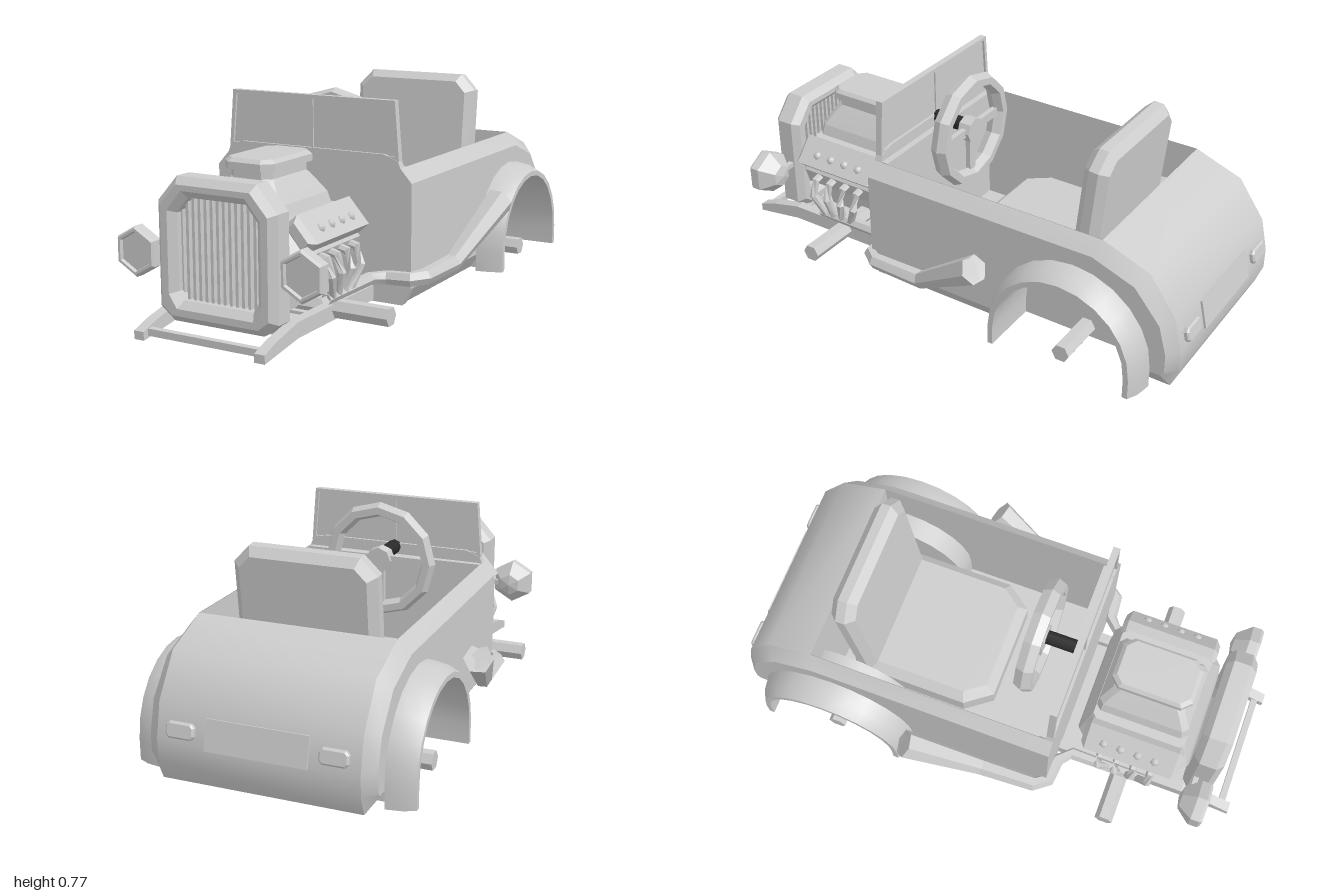
import * as THREE from 'three';
import { toCreasedNormals } from 'three/addons/utils/BufferGeometryUtils.js';

export function createModel() {
  const model = new THREE.Group();
  const paint = new THREE.MeshStandardMaterial({ color: 0xcccccc, side: THREE.DoubleSide });
  paint.name = 'grey paint';
  const black = new THREE.MeshStandardMaterial({ color: 0x2a2a2a });
  black.name = 'black';

  const mesh = (name, geo, mat = paint) => {
    const m = new THREE.Mesh(geo, mat);
    m.name = name;
    return m;
  };
  const add = (name, geo, mat) => { const m = mesh(name, geo, mat); model.add(m); return m; };
  // a part on one side plus its mirror image
  const pair = (name, geo) => {
    add(name + 'Right', geo);
    add(name + 'Left', geo).scale.x = -1;
  };
  const box = (w, h, d, x, y, z) => new THREE.BoxGeometry(w, h, d).translate(x, y, z);
  const sym = (pts) => [...pts, ...pts.slice().reverse().map(([x, y]) => [-x, y])];
  const shapeOf = (pts, hole) => {
    const s = new THREE.Shape(pts.map((p) => new THREE.Vector2(...p)));
    if (hole) s.holes.push(new THREE.Path(hole.map((p) => new THREE.Vector2(...p))));
    return s;
  };
  // plate with optional bevelled edges, spanning z0 to z0 + depth
  const plate = (pts, z0, depth, bevel = 0, hole) => new THREE.ExtrudeGeometry(shapeOf(pts, hole), {
    depth: depth - 2 * bevel, bevelEnabled: bevel > 0, bevelSize: bevel, bevelThickness: bevel,
    bevelOffset: -bevel, bevelSegments: 1,
  }).translate(0, 0, z0 + bevel);
  // flat panel drawn in (z, y), standing at a given x
  const sidePanel = (pts, x) => new THREE.ShapeGeometry(shapeOf(pts)).rotateY(-Math.PI / 2).translate(x, 0, 0);
  // surface through rows of points
  const skin = (rows, crease = 0.6) => {
    const n = rows[0].length, index = [];
    for (let r = 0; r < rows.length - 1; r++) for (let c = 0; c < n - 1; c++) {
      const a = r * n + c, b = a + n;
      index.push(a, b, b + 1, a, b + 1, a + 1);
    }
    const g = new THREE.BufferGeometry();
    g.setAttribute('position', new THREE.Float32BufferAttribute(rows.flat(2), 3));
    g.setIndex(index);
    return toCreasedNormals(g, crease);
  };
  // stacked rectangles with cut corners: [y, halfWidth, halfDepth, cut]
  const stack = (rings, z) => skin(rings.map(([y, w, d, c]) => {
    const p = [[w, d - c], [w - c, d], [c - w, d], [-w, d - c], [-w, c - d], [c - w, -d], [w - c, -d], [w, c - d]];
    return [...p, p[0]].map(([px, pz]) => [px, y, z + pz]).reverse();
  }), 0.1);
  // six-sided pipe of changing radius: [x, y, z, radius]
  const pipe = (path) => {
    const pts = path.map(([x, y, z]) => new THREE.Vector3(x, y, z));
    return skin(pts.map((p, i) => {
      const t = pts[Math.min(i + 1, pts.length - 1)].clone().sub(pts[Math.max(i - 1, 0)]).normalize();
      const side = new THREE.Vector3(0, 1, 0).cross(t).normalize();
      const up = t.clone().cross(side);
      return Array.from({ length: 7 }, (_, k) => {
        const a = -k * Math.PI / 3, r = path[i][3];
        return p.clone().addScaledVector(side, r * Math.cos(a)).addScaledVector(up, r * Math.sin(a)).toArray();
      });
    }), 0.3);
  };

  // Body shell: full profile and the inset profile of the sides, both in (z, y)
  const outer = [[0.29, 0.52], [-0.67, 0.52], [-0.855, 0.45], [-0.957, 0.305], [-0.985, 0.18],
    [-0.985, 0.1], [-0.957, 0.025], [-0.847, 0.025]];
  const inset = [[0.29, 0.47], [-0.655, 0.47], [-0.82, 0.41], [-0.92, 0.29], [-0.95, 0.18],
    [-0.95, 0.11], [-0.935, 0.09], [-0.847, 0.09]];
  const arcZ = -0.585, arcY = 0.1, wellR = 0.262;
  const arc = Array.from({ length: 13 }, (_, i) => Math.PI * i / 12);
  const arch = (r) => [[arcZ + r, 0.025], ...arc.map((a) => [arcZ + r * Math.cos(a), arcY + r * Math.sin(a)]),
    [arcZ - r, 0.025]];
  const archCut = arch(wellR).slice(1, -1).reverse();
  add('rearDeck', skin(outer.slice(1, 7).map(([z, y]) => [[0.365, y, z], [-0.365, y, z]])));
  pair('bodyEdge', skin(outer.map(([z, y], i) => [[-0.365, y, z], [-0.41, inset[i][1], inset[i][0]]])));
  pair('sill', skin([[[-0.365, 0.025, -0.323], [-0.41, 0.09, -0.323]], [[-0.365, 0.025, 0.29], [-0.41, 0.09, 0.29]]]));
  pair('bodySide', sidePanel([...inset, ...archCut, [-0.323, 0.09], [0.29, 0.09]], -0.41));
  pair('cockpitWall', sidePanel([[0.28, 0.52], [-0.67, 0.52], [-0.67, 0.35],
    ...archCut.filter(([z]) => z > -0.66), [-0.323, 0.025], [0.28, 0.025]], -0.363));
  add('floor', new THREE.ShapeGeometry(shapeOf(sym([[0.365, -0.29], [0.365, 0.323], [0.28, 0.323], [0.28, 0.847],
    [0.365, 0.847], [0.365, 0.957]]))).rotateX(Math.PI / 2).scale(1, 1, -1).translate(0, 0.025, 0));
  add('bulkhead', new THREE.ShapeGeometry(shapeOf(sym([[0.28, 0.025], [0.28, 0.36], [0.365, 0.36], [0.365, 0.52]])))
    .translate(0, 0, -0.67));
  add('firewall', plate(sym([[0.375, 0.025], [0.41, 0.09], [0.41, 0.47], [0.365, 0.52], [0.355, 0.545], [0.3, 0.565]]),
    0.26, 0.03));
  add('dashboard', box(0.72, 0.07, 0.03, 0, 0.485, 0.25));

  // Rear fenders and wheel wells
  const fender = [[0.41, 0.312], [0.47, 0.302], [0.51, 0.282], [0.51, wellR], [0.28, wellR]];
  const loops = fender.map(([, r]) => arch(r));
  pair('fender', skin(loops[0].map((_, i) => fender.map(([x], k) => [-x, loops[k][i][1], loops[k][i][0]]))));
  pair('wheelWell', sidePanel(arch(wellR), -0.28));

  // Windscreen
  add('windscreenFrame', plate(sym([[0.358, 0.543], [0.34, 0.757]]), 0.262, 0.026, 0,
    sym([[0.343, 0.56], [0.326, 0.744]])));
  add('windscreenPane', plate(sym([[0.35, 0.55], [0.333, 0.75]]), 0.271, 0.008));
  add('windscreenDivider', box(0.01, 0.2, 0.02, 0, 0.65, 0.275));

  // Seat
  add('seatCushion', plate(sym([[0.265, -0.56], [0.265, -0.11], [0.19, -0.01]]), -0.28, 0.15, 0.035)
    .rotateX(Math.PI / 2));
  const back = add('seatBack', plate(sym([[0.265, 0], [0.265, 0.5], [0.205, 0.562]]), -0.048, 0.096, 0.03));
  back.position.set(0, 0.2, -0.52);
  back.rotation.x = -0.1;

  // Steering wheel
  const wheel = new THREE.Group();
  wheel.name = 'steeringWheel';
  wheel.position.set(0, 0.54, 0.11);
  wheel.add(mesh('rim', toCreasedNormals(new THREE.TorusGeometry(0.198, 0.028, 6, 12).scale(1, 1, 1.35), 0.3)));
  wheel.add(mesh('hub', toCreasedNormals(new THREE.CylinderGeometry(0.05, 0.05, 0.05, 8).rotateX(Math.PI / 2), 0.3)));
  for (const a of [0, Math.PI, -Math.PI / 2]) {
    const spoke = mesh('spoke', box(0.18, 0.035, 0.02, 0.1, 0, 0));
    spoke.rotation.z = a;
    wheel.add(spoke);
  }
  model.add(wheel);
  add('steeringColumn', new THREE.CylinderGeometry(0.028, 0.028, 0.14, 8).rotateX(Math.PI / 2)
    .translate(0, 0.55, 0.195), black);

  // Chassis and axles
  pair('frameRail', plate([[1, 0], [1, 0.03], [0.93, 0.055], [0.8, 0.085], [0.28, 0.085], [0.28, 0.03], [0.8, 0.03],
    [0.92, 0.012]], 0.22, 0.04).rotateY(-Math.PI / 2));
  add('underTray', box(0.46, 0.015, 0.52, 0, 0.042, 0.54));
  add('frontCrossbar', box(0.46, 0.025, 0.025, 0, 0.024, 0.965));
  for (const z of [0.42, 0.62, 0.8]) add('crossMember', box(0.46, 0.03, 0.02, 0, 0.045, z));
  for (const z of [0.55, -0.58]) add('axle', toCreasedNormals(
    new THREE.CylinderGeometry(0.035, 0.035, 0.94, 6).rotateZ(Math.PI / 2), 0.3).translate(0, 0.067, z));

  // Radiator
  add('radiatorShell', plate(sym([[0.18, 0.045], [0.237, 0.09], [0.237, 0.455], [0.157, 0.545]]), 0.79, 0.115, 0.025,
    sym([[0.14, 0.12], [0.16, 0.15], [0.16, 0.42], [0.115, 0.475]])));
  for (let i = 0; i < 14; i++) {
    const x = (i - 6.5) * 0.0245;
    add('grilleBar', box(0.011, 0.385, 0.02, x, 0.297, 0.85));
  }

  // Headlights
  const lamp = [[0, -0.11], [0.045, -0.1], [0.09, -0.045], [0.09, -0.01], [0.082, 0], [0.072, 0], [0.068, -0.012], [0, -0.012]];
  pair('headlight', toCreasedNormals(new THREE.LatheGeometry(lamp.map((p) => new THREE.Vector2(...p)), 6)
    .rotateX(Math.PI / 2), 0.1).translate(-0.33, 0.268, 0.9));
  pair('headlightBracket', box(0.08, 0.02, 0.02, -0.25, 0.268, 0.83));

  // Engine
  add('engineBlock', stack([[0.06, 0.12, 0.19, 0.03], [0.2, 0.14, 0.21, 0.03], [0.22, 0.235, 0.225, 0.05],
    [0.29, 0.265, 0.215, 0.05], [0.4, 0.2, 0.18, 0.03], [0.4, 0, 0, 0]], 0.565));
  add('intake', stack([[0.38, 0.16, 0.18, 0.02], [0.44, 0.14, 0.175, 0.02], [0.5, 0.1, 0.14, 0.02],
    [0.52, 0.085, 0.135, 0.03], [0.55, 0.085, 0.135, 0.03], [0.55, 0.1, 0.155, 0.035], [0.575, 0.1, 0.155, 0.035],
    [0.588, 0.088, 0.14, 0.03], [0.588, 0, 0, 0]], 0.565));
  pair('valveCover', plate([[-0.06, 0], [0.06, 0], [0.06, 0.07], [-0.06, 0.07]], -0.19, 0.38, 0.018)
    .rotateZ(0.85).translate(-0.205, 0.335, 0.565));
  for (let i = 0; i < 4; i++) {
    const z = 0.46 + i * 0.067;
    pair('coverBolt', new THREE.SphereGeometry(0.018, 6, 4).translate(-0.262, 0.37, z));
    const end = 0.56 + (z - 0.56) * 0.6;
    pair('header', pipe([[-0.235, 0.28, z, 0.016], [-0.285, 0.27, z, 0.016], [-0.305, 0.21, z, 0.016],
      [-0.28, 0.125, end, 0.016]]));
  }

  // Exhaust pipes, flaring towards open tips
  pair('exhaust', pipe([[-0.275, 0.125, 0.65, 0.02], [-0.275, 0.125, 0.35, 0.024], [-0.32, 0.125, 0.305, 0.026],
    [-0.41, 0.128, 0.295, 0.028], [-0.443, 0.13, 0.25, 0.03], [-0.452, 0.135, 0.03, 0.034], [-0.515, 0.325, -0.25, 0.055],
    [-0.515, 0.322, -0.248, 0.042], [-0.505, 0.295, -0.21, 0.038], [-0.505, 0.293, -0.207, 0.001]]));

  // Tail lights and number plate, laid on the sloping rear
  const rear = new THREE.Group();
  rear.name = 'rearFittings';
  rear.position.set(0, 0.22, -0.978);
  rear.rotation.x = 0.22;
  rear.add(mesh('numberPlate', box(0.37, 0.11, 0.008, 0, 0, -0.002)));
  for (const s of [-1, 1]) {
    const light = plate(sym([[0.04, -0.028], [0.052, -0.015], [0.052, 0.015], [0.04, 0.028]]), -0.016, 0.024, 0.006);
    rear.add(mesh('tailLight', light.translate(s * 0.275, 0, 0)));
  }
  model.add(rear);
  return model;
}
